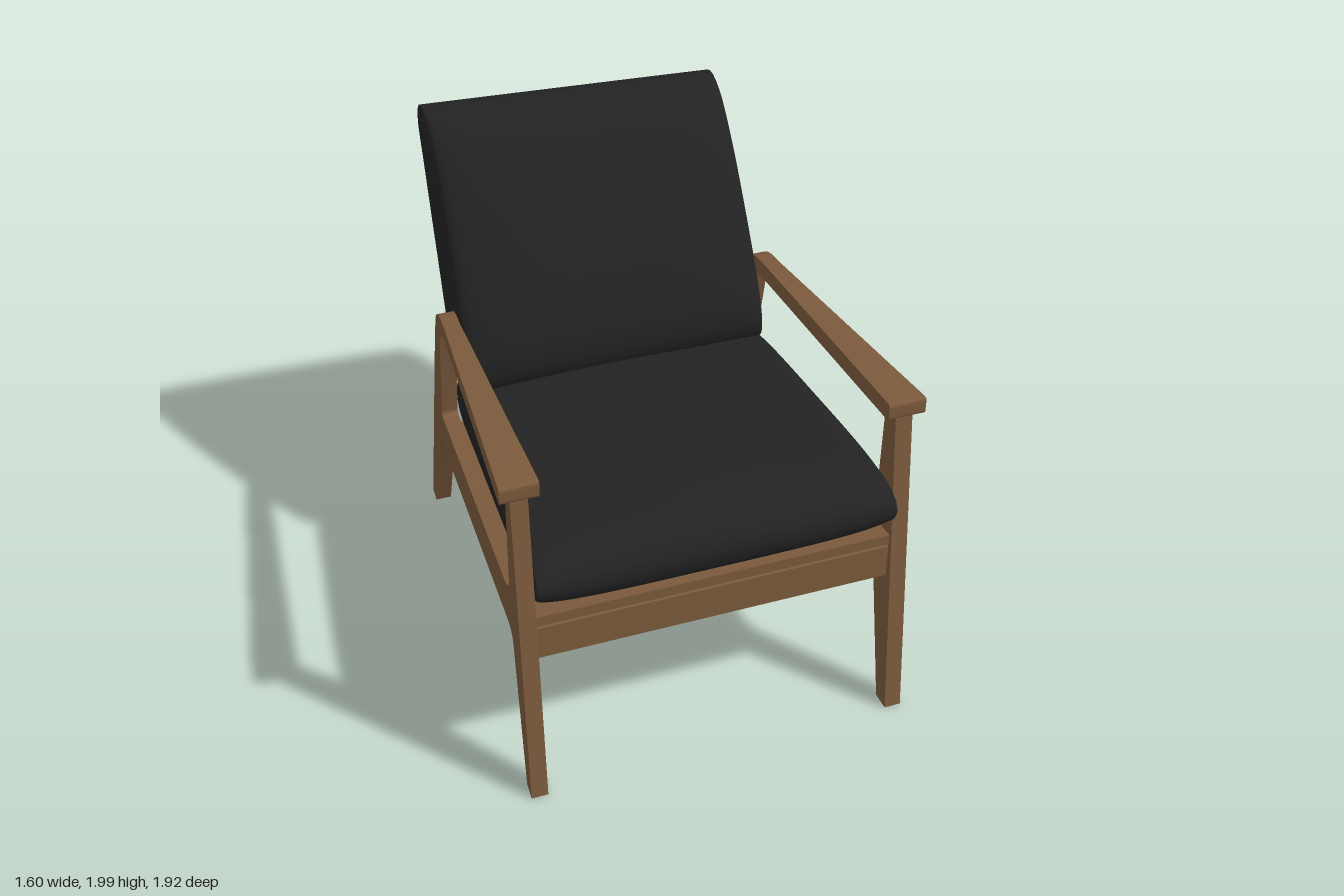
import * as THREE from 'three';
import { toCreasedNormals } from 'three/addons/utils/BufferGeometryUtils.js';

const lerp = THREE.MathUtils.lerp;

// Closed side outline of [z, y, cornerRadius] points
function outline(pts) {
  const shape = new THREE.Shape();
  const n = pts.length;
  pts.forEach(([z, y, r = 0], i) => {
    const p = new THREE.Vector2(z, y);
    const toward = (q) => new THREE.Vector2(q[0], q[1]).sub(p).setLength(r).add(p);
    const a = r ? toward(pts[(i + n - 1) % n]) : p;
    if (i === 0) shape.moveTo(a.x, a.y); else shape.lineTo(a.x, a.y);
    if (r) {
      const b = toward(pts[(i + 1) % n]);
      shape.quadraticCurveTo(p.x, p.y, b.x, b.y);
    }
  });
  shape.closePath();
  return shape;
}

// Extrude a side outline across x; lo(z, y) and hi(z, y) give its two faces
function slab(pts, lo, hi) {
  const geo = new THREE.ExtrudeGeometry(outline(pts), { depth: 1, bevelEnabled: false, curveSegments: 8 });
  const pos = geo.attributes.position;
  for (let i = 0; i < pos.count; i++) {
    const z = pos.getX(i), y = pos.getY(i), t = pos.getZ(i);
    pos.setXYZ(i, lerp(hi(z, y), lo(z, y), t), y, z);
  }
  geo.computeVertexNormals();
  return toCreasedNormals(geo, 0.5);
}

// Stuffed cushion: side profile lofted across x, thinner toward both ends
function cushion(profile, centre, axis, edge, halfWidth, warp) {
  const curve = new THREE.CatmullRomCurve3(profile.map(([z, y]) => new THREE.Vector3(0, y, z)), true);
  const ring = curve.getSpacedPoints(56).slice(0, -1);
  const N = ring.length, M = 32, pos = [], index = [];
  const c = new THREE.Vector3(0, centre[1], centre[0]);
  const normal = new THREE.Vector3(0, -axis[0], axis[1]).normalize();
  const put = (p, u, s) => {
    const q = p.clone().addScaledVector(normal, -normal.dot(p.clone().sub(c)) * (1 - s));
    q.x = u * halfWidth(q.z, q.y);
    warp(q);
    pos.push(q.x, q.y, q.z);
  };
  for (let j = 0; j <= M; j++) {
    const u = Math.sin((j / M - 0.5) * Math.PI);
    const s = edge + (1 - edge) * Math.sqrt(Math.max(0, 1 - u ** 4));
    ring.forEach((p) => put(p, u, s));
  }
  for (let j = 0; j < M; j++) for (let i = 0; i < N; i++) {
    const a = j * N + i, d = j * N + (i + 1) % N;
    index.push(a, a + N, d, d, a + N, d + N);
  }
  // End caps
  const first = pos.length / 3;
  put(c, -1, 1);
  put(c, 1, 1);
  for (let i = 0; i < N; i++) {
    const k = (i + 1) % N;
    index.push(first, i, k, first + 1, M * N + k, M * N + i);
  }
  const geo = new THREE.BufferGeometry();
  geo.setAttribute('position', new THREE.Float32BufferAttribute(pos, 3));
  geo.setIndex(index);
  geo.computeVertexNormals();
  return toCreasedNormals(geo, 0.9);
}

export function createModel() {
  const chair = new THREE.Group();
  chair.name = 'armchair';
  const wood = new THREE.MeshStandardMaterial({ color: 0x7d5b3d });
  wood.name = 'walnut wood';
  const fabric = new THREE.MeshStandardMaterial({ color: 0x232323 });
  fabric.name = 'black upholstery';
  const add = (name, geo, mat) => {
    const mesh = new THREE.Mesh(geo, mat);
    mesh.name = name;
    chair.add(mesh);
    return mesh;
  };

  // Side frames converge toward the back
  const inner = (z) => 0.651 + 0.0503 * z;
  const outer = (z) => inner(z) + 0.066;
  const framePts = [
    [0.965, 0], [0.89, 0], [0.755, 0.685, 0.07], [-0.6, 0.55, 0.08], [-0.855, 0], [-0.93, 0],
    [-0.595, 0.965], [-0.465, 1.311, 0.1], [-0.3, 1.328], [-0.3, 1.258], [-0.41, 1.247, 0.06],
    [-0.51, 0.737, 0.03], [0.745, 0.865, 0.08], [0.755, 1.39], [0.83, 1.39],
  ];
  // Armrests widen toward the front
  const armPts = [[0.85, 1.375, 0.015], [0.85, 1.447, 0.015], [-0.3, 1.328], [-0.3, 1.258]];
  const along = (z) => (z + 0.3) / 1.15;
  const armIn = (z) => lerp(inner(-0.3), 0.655, along(z));
  const armOut = (z) => lerp(outer(-0.3), 0.8, along(z));
  for (const [side, s] of [['left', 1], ['right', -1]]) {
    const span = (pts, a, b) => (s > 0 ? slab(pts, a, b) : slab(pts, (z) => -b(z), (z) => -a(z)));
    add(side + 'SideFrame', span(framePts, inner, outer), wood);
    add(side + 'Armrest', span(armPts, armIn, armOut), wood);
  }

  // Front rail, sloping seat board and tapered back board
  add('frontRail', new THREE.BoxGeometry(1.384, 0.145, 0.07), wood).position.set(0, 0.711, 0.84);
  add('seatBoard', slab([[0.87, 0.79], [0.87, 0.835], [-0.5, 0.695], [-0.5, 0.655]],
    (z) => -inner(z), inner), wood);
  const backHalf = (z, y) => lerp(0.615, 0.42, (y - 0.68) / 1.02);
  add('backBoard', slab([[-0.465, 0.68], [-0.43, 0.7], [-0.885, 1.705], [-0.92, 1.69]],
    (z, y) => -backHalf(z, y), backHalf), wood);

  // Cushions
  const seatProfile = [
    [0.915, 0.98], [0.86, 1.07], [0.7, 1.105], [0.2, 1.08], [-0.3, 1.02], [-0.47, 0.95],
    [-0.5, 0.82], [-0.46, 0.735], [-0.1, 0.745], [0.4, 0.79], [0.75, 0.835], [0.88, 0.885],
  ];
  add('seatCushion', cushion(seatProfile, [0.2, 0.93], [1, 0.1], 0.65,
    (z) => inner(z) - 0.002,
    (q) => { q.y += 0.006 * Math.sin(7 * q.x + 2) * (q.y > 0.95 ? 1 : 0); }), fabric);

  const backProfile = [
    [-0.24, 1.05], [-0.235, 1.2], [-0.41, 1.6], [-0.57, 1.86], [-0.68, 1.97], [-0.8, 2.0], [-0.9, 1.96],
    [-0.95, 1.87], [-0.89, 1.72], [-0.74, 1.37], [-0.59, 1.05], [-0.5, 0.97], [-0.4, 0.94], [-0.3, 0.98],
  ];
  add('backCushion', cushion(backProfile, [-0.6, 1.47], [-0.443, 0.896], 0.65,
    (z, y) => lerp(0.63, 0.595, y - 1),
    (q) => {
      const w = Math.max(0, q.y - 1);
      q.y -= 0.03 * (q.x + 0.6) * w;
      q.z += 0.03 * q.x * w;
      q.x -= 0.015 * w;
    }), fabric);

  return chair;
}
